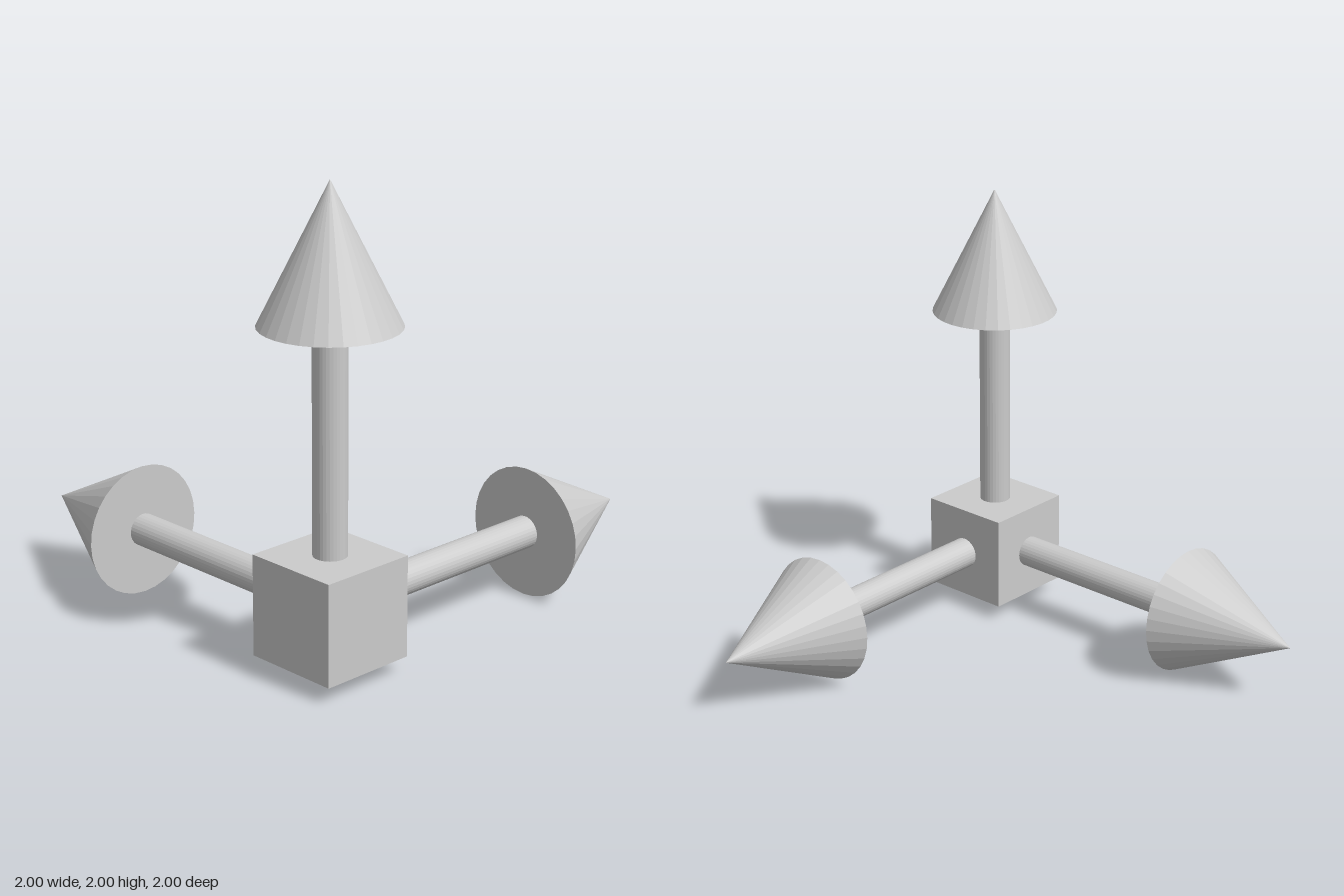
import * as THREE from 'three';

const SIDES = 32;
const HUB = 0.428; // edge of the corner cube
const REACH = 1.711; // hub centre to arrow tip
const HEAD_LENGTH = 0.567;
const HEAD_RADIUS = 0.284;
const SHAFT_RADIUS = 0.07;

const material = new THREE.MeshStandardMaterial({ color: 0xcccccc, flatShading: true });

function part(name, geometry, y = 0) {
  const mesh = new THREE.Mesh(geometry, material);
  mesh.name = name;
  mesh.position.y = y;
  return mesh;
}

// Arrow pointing along +y, starting inside the hub
function makeArrow(name) {
  const arrow = new THREE.Group();
  arrow.name = name;
  const shaftLength = REACH - HEAD_LENGTH;
  arrow.add(
    part('shaft', new THREE.CylinderGeometry(SHAFT_RADIUS, SHAFT_RADIUS, shaftLength, SIDES), shaftLength / 2),
    part('arrowHead', new THREE.ConeGeometry(HEAD_RADIUS, HEAD_LENGTH, SIDES), REACH - HEAD_LENGTH / 2)
  );
  return arrow;
}

export function createModel() {
  const model = new THREE.Group();
  model.name = 'axisArrows';

  // Everything is measured from the hub centre
  const axes = new THREE.Group();
  axes.name = 'axes';
  axes.position.set(0.711, 0.289, 0.711);
  axes.add(part('hub', new THREE.BoxGeometry(HUB, HUB, HUB)));

  // Three arrows: up, to the right side, and to the back
  const up = makeArrow('upArrow');
  const right = makeArrow('rightArrow');
  right.rotation.z = Math.PI / 2;
  const back = makeArrow('backArrow');
  back.rotation.x = -Math.PI / 2;
  axes.add(up, right, back);

  model.add(axes);
  return model;
}
